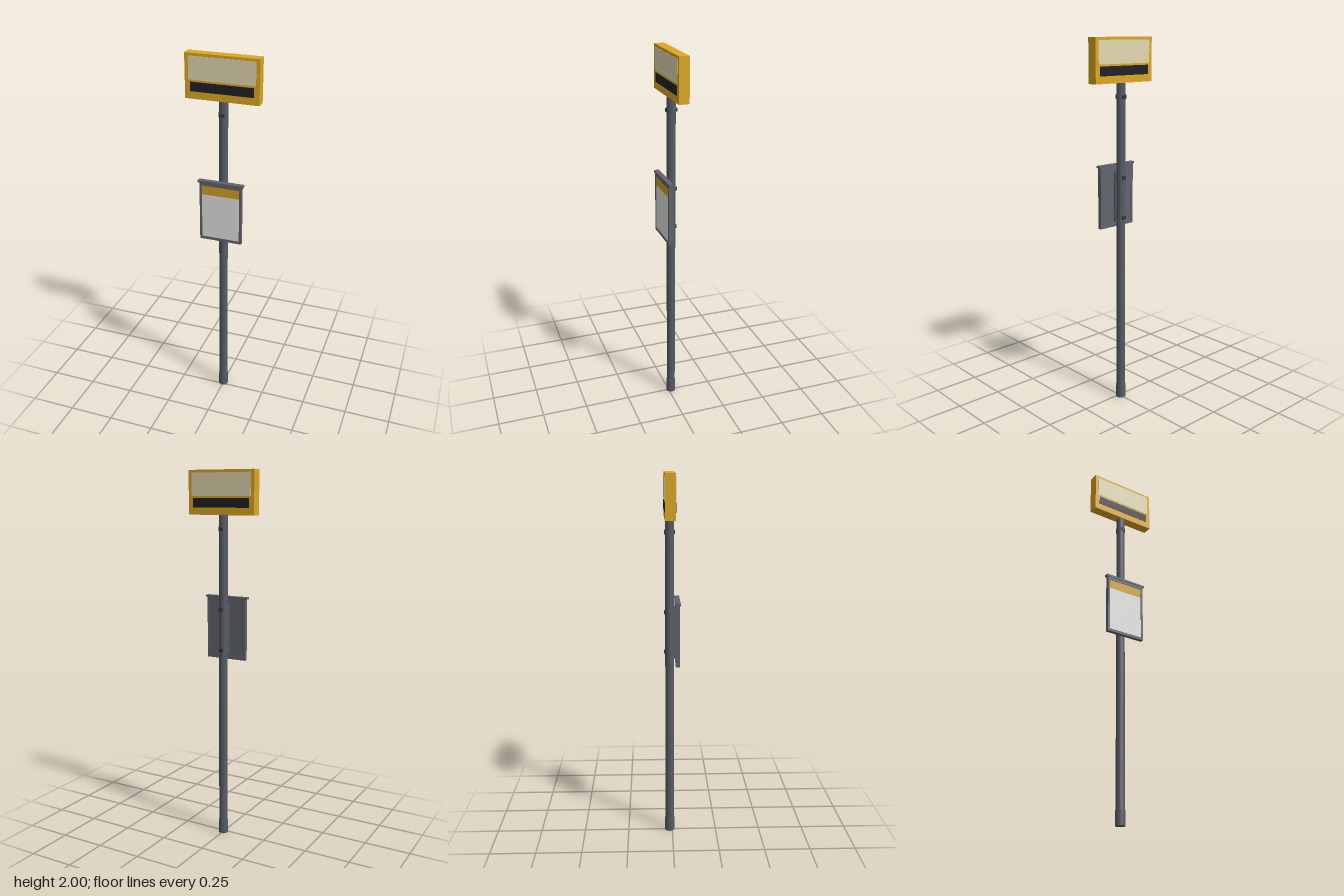
import * as THREE from 'three';

const mat = (name, color, side = THREE.FrontSide) => {
  const m = new THREE.MeshStandardMaterial({ color, side });
  m.name = name;
  return m;
};

export function createModel() {
  const group = new THREE.Group();
  const yellow = mat('signYellow', 0xdca822);
  const ochre = mat('headerOchre', 0xd0a024);
  const cream = mat('cream', 0xe2d8b0);
  const black = mat('black', 0x202124);
  const steel = mat('poleGrey', 0x575b65);
  const caseGrey = mat('caseGrey', 0x62646c);
  const paper = mat('paper', 0xe2e2e0);
  const bolt = mat('boltDark', 0x34363b);
  const poleZ = -0.014;

  const add = (name, geo, material, x, y, z) => {
    const mesh = new THREE.Mesh(geo, material);
    mesh.name = name;
    mesh.position.set(x, y, z);
    group.add(mesh);
    return mesh;
  };
  // Box given by its limits on each axis
  const box = (name, material, x0, x1, y0, y1, z0, z1) =>
    add(name, new THREE.BoxGeometry(x1 - x0, y1 - y0, z1 - z0), material,
      (x0 + x1) / 2, (y0 + y1) / 2, (z0 + z1) / 2);
  const tube = (name, material, r, y0, y1) =>
    add(name, new THREE.CylinderGeometry(r, r, y1 - y0, 24), material, 0, (y0 + y1) / 2, poleZ);

  // Pole and its foot sleeve
  tube('pole', steel, 0.0235, 0, 1.78);
  tube('footSleeve', steel, 0.0265, 0, 0.075);

  // Clamps with a bolt at front and back
  for (const y of [1.06, 1.278, 1.70]) {
    tube('clamp', steel, 0.0255, y - 0.013, y + 0.013);
    for (const s of [-1, 1])
      box('clampBolt', bolt, -0.012, 0.012, y - 0.009, y + 0.009,
        poleZ + s * 0.0255 - 0.003, poleZ + s * 0.0255 + 0.003);
  }

  // Double-sided sign head with panels on both faces
  box('signHead', yellow, -0.193, 0.193, 1.772, 2, -0.041, 0.0135);
  for (const z of [-0.0415, 0.014]) {
    box('signPanel', cream, -0.174, 0.174, 1.868, 1.986, z - 0.001, z + 0.001);
    box('signStrip', black, -0.165, 0.165, 1.81, 1.858, z - 0.0015, z + 0.0015);
  }

  // Timetable case: back plate, frame bars, sheet and rain cap
  box('caseBack', caseGrey, -0.11, 0.11, 1.01, 1.335, 0.019, 0.03);
  for (const s of [-1, 1])
    box('caseSide', caseGrey, s * 0.1095 - 0.006, s * 0.1095 + 0.006, 1.005, 1.337, 0.016, 0.037);
  box('caseBottom', caseGrey, -0.1035, 0.1035, 1.005, 1.02, 0.016, 0.037);
  box('caseTop', caseGrey, -0.1035, 0.1035, 1.318, 1.337, 0.016, 0.037);
  box('rainCap', caseGrey, -0.124, 0.124, 1.335, 1.346, 0.014, 0.041);
  box('timetableSheet', paper, -0.1035, 0.1035, 1.02, 1.267, 0.03, 0.034);
  box('timetableHeader', ochre, -0.1035, 0.1035, 1.267, 1.318, 0.03, 0.034);

  // Mounting rail between case and pole
  box('mountRail', caseGrey, -0.02, 0.02, 1.03, 1.31, 0.007, 0.02);
  return group;
}
